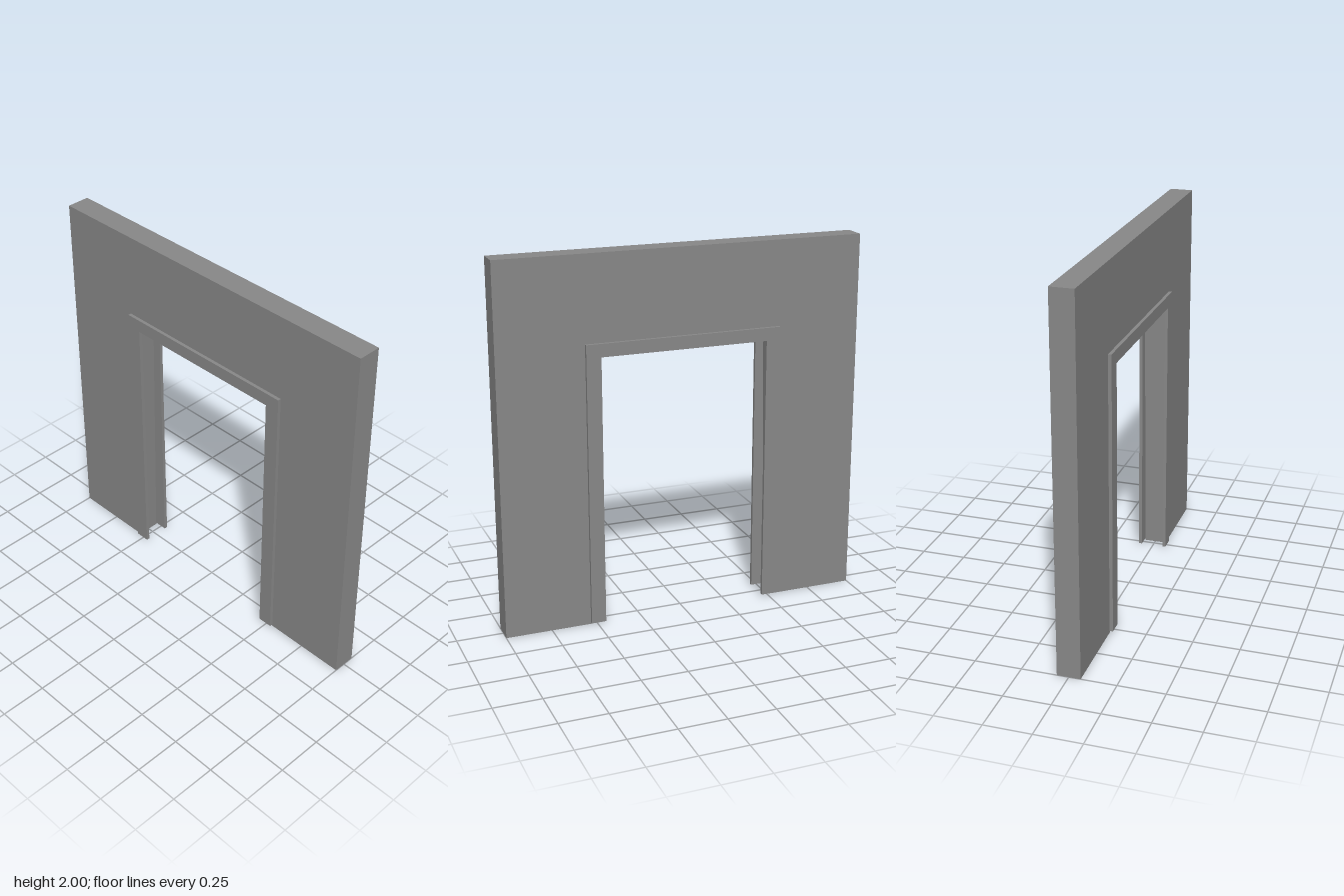
import * as THREE from 'three';

const WALL_DEPTH = 0.125;
const TRIM_DEPTH = 0.018;

// Extrudes an outline given as [x, y] points, from z to z + depth
function slab(name, points, z, depth, material) {
  const shape = new THREE.Shape(points.map(([x, y]) => new THREE.Vector2(x, y)));
  const geometry = new THREE.ExtrudeGeometry(shape, { depth, bevelEnabled: false });
  geometry.translate(0, 0, z);
  const mesh = new THREE.Mesh(geometry, material);
  mesh.name = name;
  return mesh;
}

export function createModel() {
  const group = new THREE.Group();
  group.name = 'doorwayWall';
  const grey = new THREE.MeshStandardMaterial({ color: 0x888888 });
  grey.name = 'grey';

  // Wall with a doorway whose jambs widen slightly towards the floor
  group.add(slab('wall', [
    [-1, 0], [-0.535, 0], [-0.505, 1.47], [0.5, 1.47], [0.525, 0],
    [1, 0], [1, 2], [-1, 2],
  ], -WALL_DEPTH / 2, WALL_DEPTH, grey));

  // Door casing on both faces, overhanging the jambs and ending just above the floor
  const casing = [
    [-0.54, 0.01], [-0.46, 0.01], [-0.46, 1.47], [0.455, 1.47], [0.455, 0.01],
    [0.535, 0.01], [0.535, 1.54], [-0.54, 1.54],
  ];
  group.add(slab('frontCasing', casing, WALL_DEPTH / 2, TRIM_DEPTH, grey));
  group.add(slab('backCasing', casing, -WALL_DEPTH / 2 - TRIM_DEPTH, TRIM_DEPTH, grey));

  return group;
}
